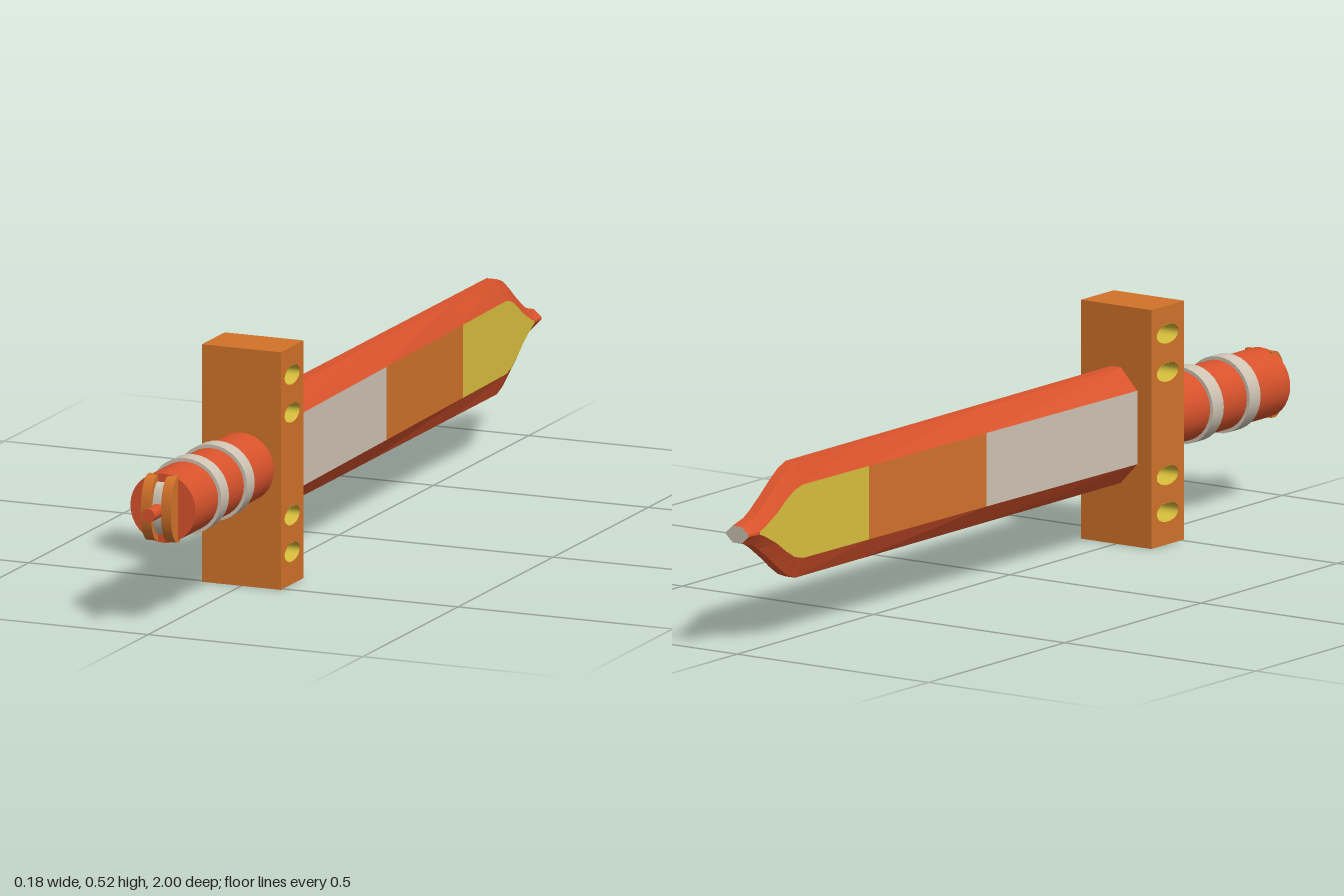
import * as THREE from 'three';

const MID = 0.26; // height of the sword's long axis

export function createModel() {
  const mat = (name, color) => new THREE.MeshStandardMaterial({ name, color });
  const red = mat('red', 0xd9532c);
  const orange = mat('orange', 0xd2722a);
  const yellow = mat('yellow', 0xd8c03c);
  const silver = mat('silver', 0xcfc4b4);
  yellow.side = THREE.DoubleSide;

  const model = new THREE.Group();
  const sword = new THREE.Group();
  sword.name = 'sword';
  sword.position.y = MID;
  model.add(sword);

  const add = (name, geometry, material, x = 0, y = 0, z = 0) => {
    const mesh = new THREE.Mesh(geometry, material);
    mesh.name = name;
    mesh.position.set(x, y, z);
    sword.add(mesh);
    return mesh;
  };
  // round part lying along z, from z0 to z1
  const rod = (name, radius, z0, z1, material) =>
    add(name, new THREE.CylinderGeometry(radius, radius, z1 - z0, 32).rotateX(Math.PI / 2),
      material, 0, 0, (z0 + z1) / 2);
  // outline in (z, y), given a thickness along x
  const plate = (shape, width) =>
    new THREE.ExtrudeGeometry(shape, { depth: width, bevelEnabled: false, curveSegments: 24 })
      .translate(0, 0, -width / 2).rotateY(-Math.PI / 2);

  // guard with oval holes running through it, lined in yellow
  const guard = new THREE.Shape([[-0.06, -0.26], [0.06, -0.26], [0.06, 0.26], [-0.06, 0.26]]
    .map(([z, y]) => new THREE.Vector2(z, y)));
  for (const y of [-0.19, -0.11, 0.115, 0.198]) {
    const hole = new THREE.Path();
    hole.absellipse(0, y, 0.04, 0.021, 0, Math.PI * 2, true);
    guard.holes.push(hole);
    const lining = new THREE.CylinderGeometry(1, 1, 0.183, 24, 1, true)
      .rotateZ(Math.PI / 2).scale(1, 0.0205, 0.0393);
    add('holeLining', lining, yellow, 0, y, 0.45);
  }
  add('guard', plate(guard, 0.184), orange, 0, 0, 0.45);

  // grip and its two bands
  rod('grip', 0.076, 0.5, 0.922, red);
  for (const z of [0.648, 0.783]) rod('gripBand', 0.0835, z - 0.02, z + 0.02, silver);

  // pommel: two curved fins, a smaller silver disc between them and a peg
  const dome = (halfHeight, depth) => {
    const s = new THREE.Shape();
    s.moveTo(-0.01, -halfHeight);
    s.lineTo(0, -halfHeight);
    s.absellipse(0, 0, depth, halfHeight, -Math.PI / 2, Math.PI / 2, false);
    s.lineTo(-0.01, halfHeight);
    return s;
  };
  for (const side of [-1, 1]) {
    add('pommelFin', plate(dome(0.072, 0.038), 0.023), orange, side * 0.0235, 0, 0.922);
  }
  add('pommelDisc', plate(dome(0.057, 0.028), 0.024), silver, 0, 0, 0.922);
  rod('pommelPeg', 0.015, 0.92, 1, red);

  // blade sections: z, half height of the outline, half height of the flat side
  const sections = [
    [0.4, 0.126, 0.08], [-0.15, 0.126, 0.08], [-0.57, 0.126, 0.08], [-0.805, 0.126, 0.08],
    [-0.835, 0.115, 0.073], [-0.865, 0.095, 0.056], [-0.9, 0.068, 0.032],
    [-0.94, 0.04, 0.011], [-0.96, 0.029, 0.003], [-1, 0.018, 0.002],
  ];
  const rings = sections.map(([z, H, h]) => {
    const w = 0.03 + (z + 1) * 0.0182;
    const e = 0.012;
    return [[w, -h], [w, h], [e, H], [-e, H], [-w, h], [-w, -h], [-e, -H], [e, -H]]
      .map(([x, y]) => [x, y, z]);
  });
  const faces = { bladeEdge: [], basePanel: [], middlePanel: [], tipPanel: [], bladeEnd: [] };
  for (let i = 0; i < rings.length - 1; i++) {
    const a = rings[i], b = rings[i + 1];
    const panel = i === 0 ? 'basePanel' : i === 1 ? 'middlePanel' : i < 8 ? 'tipPanel' : 'bladeEdge';
    for (let k = 0; k < 8; k++) {
      const n = (k + 1) % 8;
      const part = k % 4 === 0 ? panel : 'bladeEdge';
      faces[part].push(a[k], b[k], b[n], a[k], b[n], a[n]);
    }
  }
  // blunt end of the blade
  const last = rings[rings.length - 1];
  for (let k = 1; k < 7; k++) faces.bladeEnd.push(last[0], last[k + 1], last[k]);

  const colours = {
    bladeEdge: red, basePanel: silver, middlePanel: orange, tipPanel: yellow, bladeEnd: silver,
  };
  for (const [name, points] of Object.entries(faces)) {
    const g = new THREE.BufferGeometry();
    g.setAttribute('position', new THREE.Float32BufferAttribute(points.flat(), 3));
    g.computeVertexNormals();
    add(name, g, colours[name]);
  }

  return model;
}
